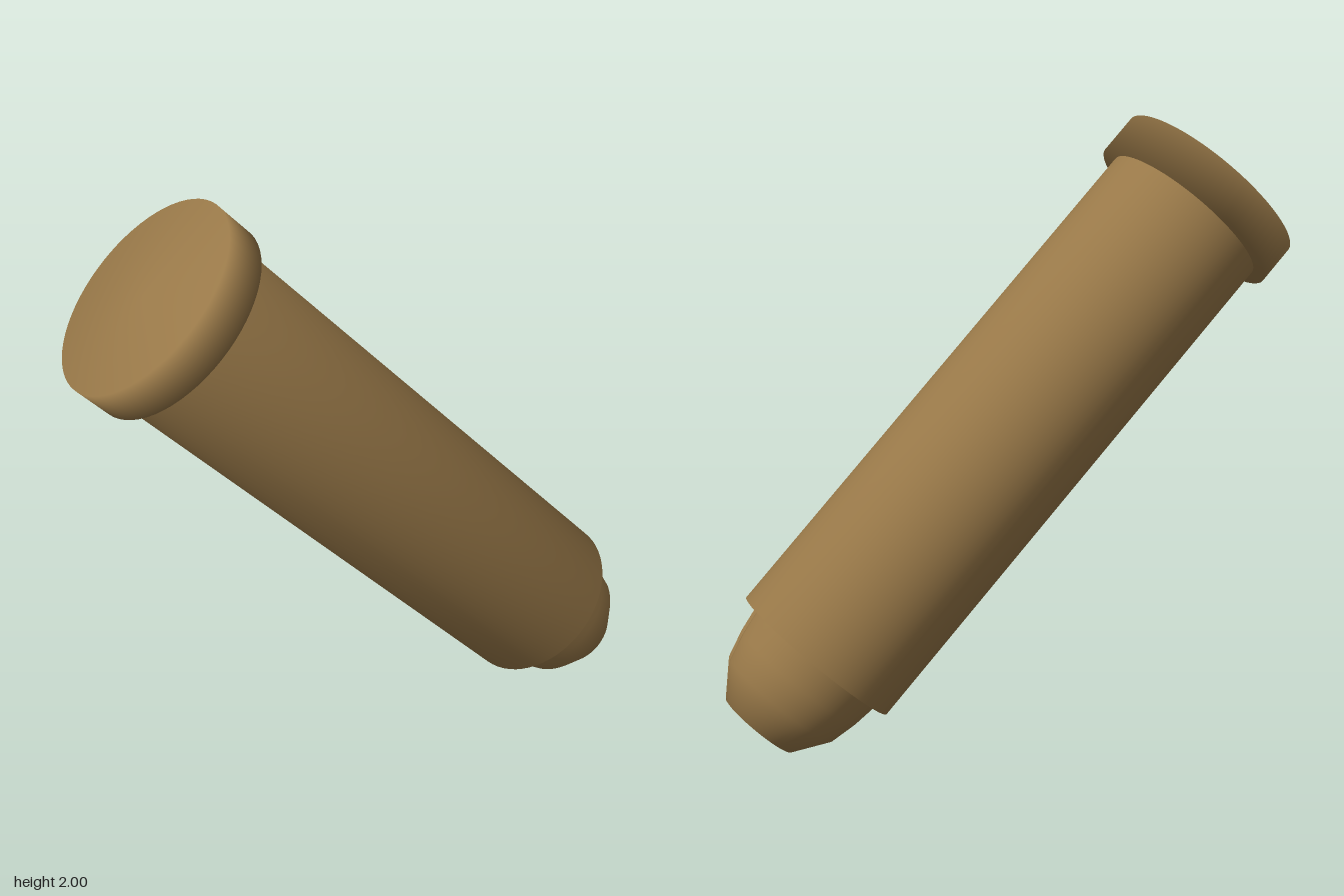
import * as THREE from 'three';
import { mergeVertices } from 'three/addons/utils/BufferGeometryUtils.js';

export function createModel() {
  const group = new THREE.Group();
  const brass = new THREE.MeshStandardMaterial({ color: 0x987848, side: THREE.DoubleSide });
  brass.name = 'brass';

  // Turned part along the local y axis, softly shaded across its edges
  const lathe = (name, profile, segments = 64) => {
    const points = profile.map(([r, y]) => new THREE.Vector2(r, y));
    const mesh = new THREE.Mesh(new THREE.LatheGeometry(points, segments), brass);
    mesh.name = name;
    group.add(mesh);
    return mesh;
  };

  // Long straight casing and the wider rim disc at its upper end
  lathe('casing', [[0, 0], [0.297, 0], [0.297, 1.92], [0, 1.92]]);
  lathe('rim', [[0, 1.894], [0.343, 1.894], [0.343, 2.03], [0, 2.03]]);

  // Blunt tip with one narrow seam pressed into its upper side
  const tip = lathe('tip', [[0, -0.29], [0.138, -0.29], [0.217, -0.18], [0.24, -0.09], [0.255, 0.01]], 160);
  let geometry = tip.geometry;
  const pos = geometry.attributes.position;
  for (let i = 0; i < pos.count; i++) {
    const x = pos.getX(i), y = pos.getY(i), z = pos.getZ(i);
    const r = Math.hypot(x, z);
    if (r < 0.01) continue;
    const offset = Math.abs(Math.atan2(z, x) - 0.2);
    const depth = 0.035 * Math.max(0, 1 - offset / 0.11) * THREE.MathUtils.clamp((y + 0.29) / 0.15, 0, 1);
    const k = (r - depth) / r;
    pos.setXYZ(i, x * k, y, z * k);
  }
  geometry.deleteAttribute('uv');
  geometry.deleteAttribute('normal');
  geometry = mergeVertices(geometry, 1e-5);
  geometry.computeVertexNormals();
  tip.geometry = geometry;

  // Lean the whole piece along its diagonal axis
  const axis = new THREE.Vector3(-1.407, 1.463, 0.055).normalize();
  group.quaternion.setFromUnitVectors(new THREE.Vector3(0, 1, 0), axis);
  group.position.set(0.67, 0.3, -0.055);
  group.name = 'cartridge';

  const model = new THREE.Group();
  model.name = 'model';
  model.add(group);
  return model;
}
